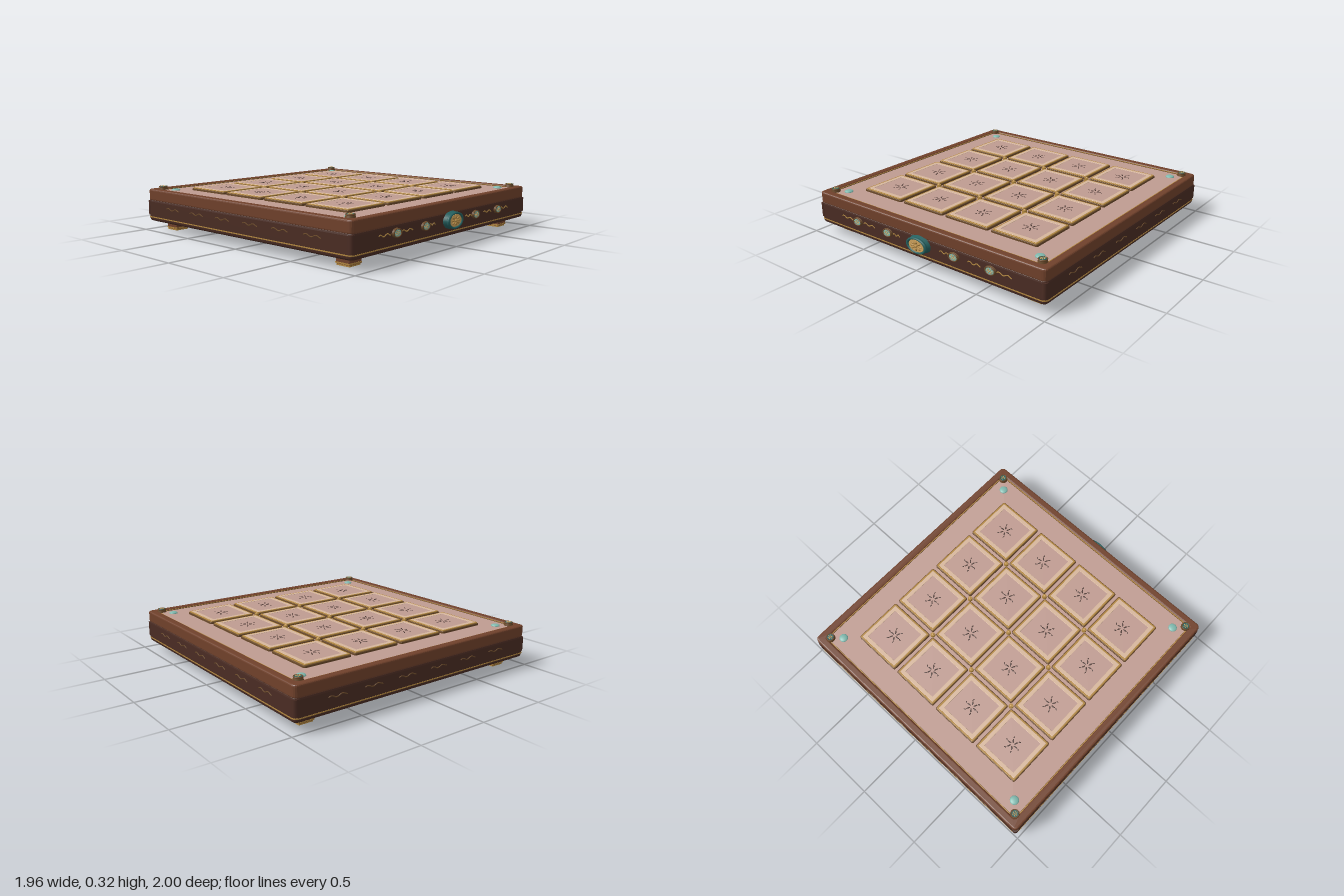
import * as THREE from 'three';

const mat = (color) => new THREE.MeshStandardMaterial({ color });
const M = {
  body: mat(0x4a2c23), rim: mat(0x70412b), under: mat(0x281a16), gold: mat(0xb0863f),
  darkGold: mat(0x6b4a2a), pink: mat(0xbf9b91), cream: mat(0xd6b69c), ink: mat(0x54403a),
  teal: mat(0x24605f), paleTeal: mat(0x7fb8ad), amber: mat(0xd0a35c),
};

function add(parent, name, geometry, material, x = 0, y = 0, z = 0) {
  const mesh = new THREE.Mesh(geometry, material);
  mesh.name = name;
  mesh.position.set(x, y, z);
  parent.add(mesh);
  return mesh;
}

function group(parent, name, x = 0, y = 0, z = 0) {
  const g = new THREE.Group();
  g.name = name;
  g.position.set(x, y, z);
  parent.add(g);
  return g;
}

function roundedSquare(target, h, r) {
  target.moveTo(h, -h + r);
  target.lineTo(h, h - r).quadraticCurveTo(h, h, h - r, h);
  target.lineTo(-h + r, h).quadraticCurveTo(-h, h, -h, h - r);
  target.lineTo(-h, -h + r).quadraticCurveTo(-h, -h, -h + r, -h);
  target.lineTo(h - r, -h).quadraticCurveTo(h, -h, h, -h + r);
  return target;
}

// Horizontal square slab from y0 to y1, optionally with a square opening
function slab(half, r, y0, y1, bevel = 0, hole = 0) {
  const shape = roundedSquare(new THREE.Shape(), half, r);
  if (hole) shape.holes.push(roundedSquare(new THREE.Path(), hole, r * 0.6));
  const g = new THREE.ExtrudeGeometry(shape, {
    depth: y1 - y0 - 2 * bevel, bevelEnabled: bevel > 0, bevelSize: bevel,
    bevelThickness: bevel, bevelOffset: -bevel, bevelSegments: 3, curveSegments: 4,
  });
  return g.rotateX(-Math.PI / 2).translate(0, y0 + bevel, 0);
}

// Wavy inlay lying in the xy plane
function squiggle(length) {
  const pts = [];
  for (let i = 0; i <= 8; i++) {
    pts.push(new THREE.Vector3((i / 8 - 0.5) * length, Math.sin(i * 1.35) * 0.007, 0));
  }
  return new THREE.TubeGeometry(new THREE.CatmullRomCurve3(pts), 20, 0.004, 5);
}

// Round ornament facing +z: backing, raised ring, petals and a centre bead
function medallion(parent, name, r, depth, ringMat, discMat, petalMat, petals) {
  const g = group(parent, name);
  add(g, 'backing', new THREE.CylinderGeometry(r * 0.85, r, depth, 28).rotateX(Math.PI / 2), ringMat, 0, 0, depth / 2);
  add(g, 'ring', new THREE.TorusGeometry(r * 0.82, r * 0.12, 8, 28), ringMat, 0, 0, depth);
  add(g, 'disc', new THREE.CylinderGeometry(r * 0.68, r * 0.72, depth * 0.2, 28).rotateX(Math.PI / 2), discMat, 0, 0, depth * 1.05);
  for (let i = 0; i < petals; i++) {
    const a = (i / petals) * Math.PI * 2;
    const p = add(g, 'petal', new THREE.SphereGeometry(1, 8, 6), petalMat,
      Math.cos(a) * r * 0.38, Math.sin(a) * r * 0.38, depth * 1.15);
    p.scale.set(r * 0.19, r * 0.1, depth * 0.2);
    p.rotation.z = a;
  }
  add(g, 'bead', new THREE.SphereGeometry(r * 0.14, 10, 8), petalMat, 0, 0, depth * 1.1);
  return g;
}

function tile(parent, x, z) {
  const g = group(parent, 'tile', x, 0, z);
  add(g, 'tileBase', slab(0.178, 0.014, 0.275, 0.297, 0.004), M.darkGold);
  add(g, 'tileGoldEdge', slab(0.172, 0.01, 0.29, 0.303, 0.003, 0.158), M.gold);
  add(g, 'tileFrame', slab(0.161, 0.004, 0.29, 0.304, 0.002, 0.133), M.cream);
  add(g, 'tilePanel', slab(0.135, 0.004, 0.29, 0.302), M.pink);
  // Six-armed engraved star
  for (let i = 0; i < 6; i++) {
    const arm = group(g, 'starArm', 0, 0.302, 0);
    arm.rotation.y = (i * Math.PI) / 3;
    for (const [d, l, w, turn] of [[0.026, 0.015, 0.005, 0.12], [0.051, 0.009, 0.004, -0.5]]) {
      const leaf = add(arm, 'starLeaf', new THREE.SphereGeometry(1, 8, 4), M.ink, d, 0, 0);
      leaf.scale.set(l, 0.0015, w);
      leaf.rotation.y = turn;
    }
  }
}

export function createModel() {
  const model = new THREE.Group();
  model.name = 'tileBoard';
  const board = group(model, 'board', 0, 0, -0.02);

  // Case
  add(board, 'lowerCase', slab(0.975, 0.035, 0.065, 0.225, 0.02), M.body);
  add(board, 'underside', slab(0.95, 0.03, 0.062, 0.07), M.under);
  add(board, 'rim', slab(0.974, 0.035, 0.212, 0.295, 0.012, 0.918), M.rim);
  add(board, 'caseInlay', slab(0.9775, 0.035, 0.091, 0.098, 0, 0.96), M.gold);
  add(board, 'field', slab(0.93, 0.01, 0.22, 0.283), M.pink);
  add(board, 'fieldShadowLine', slab(0.925, 0.01, 0.26, 0.286, 0, 0.911), M.darkGold);
  add(board, 'fieldInlay', slab(0.919, 0.01, 0.26, 0.289, 0, 0.913), M.gold);

  // Playing tiles, four by four
  const step = 0.382;
  for (let i = 0; i < 4; i++) {
    for (let j = 0; j < 4; j++) tile(board, (i - 1.5) * step, (j - 1.5) * step);
  }

  // Studs where the gaps cross
  for (let i = -1; i <= 1; i++) {
    for (let j = -1; j <= 1; j++) {
      add(board, 'stud', new THREE.CylinderGeometry(0.015, 0.018, 0.024, 14), M.gold, i * step, 0.292, j * step);
      add(board, 'studBead', new THREE.SphereGeometry(0.008, 10, 8), M.amber, i * step, 0.304, j * step);
    }
  }

  // Corner rosettes, cabochons, case corner guards and feet
  for (const sx of [-1, 1]) {
    for (const sz of [-1, 1]) {
      const rosette = medallion(board, 'cornerRosette', 0.032, 0.021, M.darkGold, M.teal, M.amber, 6);
      rosette.rotation.x = -Math.PI / 2;
      rosette.position.set(sx * 0.895, 0.29, sz * 0.895);
      add(board, 'cabochon', new THREE.SphereGeometry(0.031, 20, 12).scale(1, 0.4, 1), M.paleTeal, sx * 0.832, 0.284, sz * 0.832);
      add(board, 'cornerGuard', new THREE.CylinderGeometry(0.021, 0.021, 0.1, 12), M.body, sx * 0.957, 0.16, sz * 0.957);
      const foot = group(board, 'foot', sx * 0.83, 0, sz * 0.825);
      add(foot, 'footBlock', new THREE.BoxGeometry(0.104, 0.06, 0.104), M.rim, 0, 0.04, 0);
      add(foot, 'footBand', new THREE.BoxGeometry(0.11, 0.008, 0.11), M.gold, 0, 0.017, 0);
      add(foot, 'footPad', new THREE.BoxGeometry(0.098, 0.014, 0.098), M.gold, 0, 0.007, 0);
    }
  }

  // Front medallions
  const centre = medallion(board, 'centreMedallion', 0.095, 0.034, M.teal, M.amber, M.gold, 8);
  centre.position.set(0, 0.17, 0.972);
  centre.scale.set(1, 0.62, 1);
  for (const x of [-0.58, -0.29, 0.29, 0.58]) {
    const m = medallion(board, 'sideMedallion', 0.045, 0.014, M.darkGold, M.paleTeal, M.amber, 6);
    m.position.set(x, 0.17, 0.972);
    m.scale.set(1, 0.68, 1);
  }

  // Wavy inlays on the front and on the other three sides
  for (const [x, l] of [[-0.69, 0.11], [-0.47, 0.11], [-0.21, 0.06], [0.21, 0.08], [0.45, 0.1], [0.68, 0.11]]) {
    add(board, 'frontVine', squiggle(l), M.gold, x, 0.17, 0.975);
  }
  for (let s = 1; s < 4; s++) {
    const side = group(board, 'sideVines');
    side.rotation.y = (s * Math.PI) / 2;
    for (let i = 0; i < 6; i++) {
      add(side, 'vine', squiggle(0.14), M.darkGold, (i - 2.5) * 0.27, 0.17, 0.976);
    }
  }
  return model;
}
